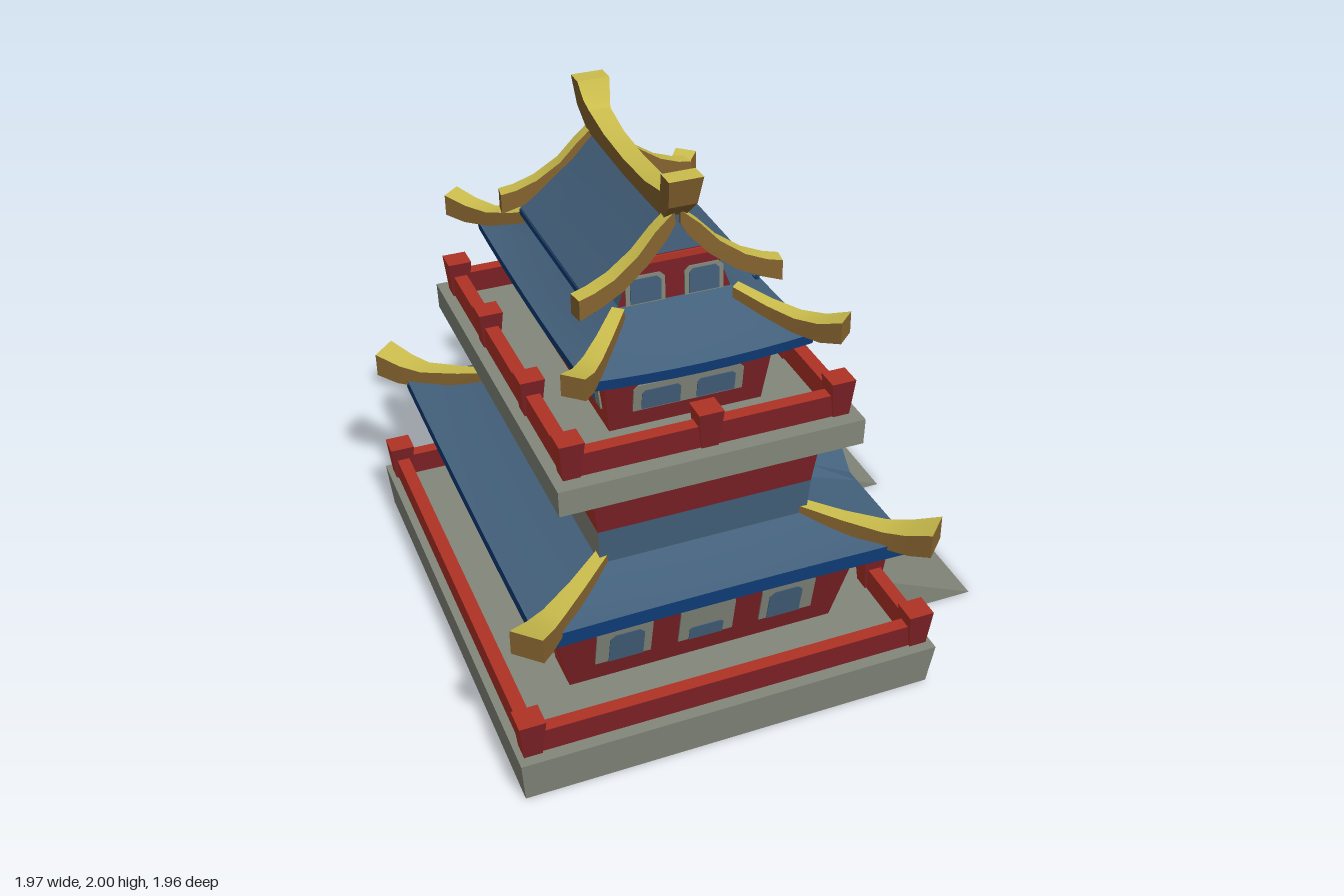
import * as THREE from 'three';
import { toCreasedNormals } from 'three/addons/utils/BufferGeometryUtils.js';

const CX = -0.19; // plan centre of the tower
const paint = (name, color) => {
  const m = new THREE.MeshStandardMaterial({ color });
  m.name = name;
  return m;
};

export function createModel() {
  const red = paint('red lacquer', 0xb03226), maroon = paint('maroon lacquer', 0x7a2025);
  const stone = paint('grey stone', 0x83877a), tile = paint('slate blue tile', 0x43607b);
  const edge = paint('deep blue eave', 0x0e3d78);
  const gold = paint('gold', 0xcabc4c), bronze = paint('bronze', 0x85632f);
  const lacquer = [maroon, red]; // z sides, x sides
  tile.side = edge.side = stone.side = THREE.DoubleSide;

  const model = new THREE.Group();
  const tower = new THREE.Group();
  tower.name = 'tower';
  tower.position.x = CX;
  model.add(tower);
  const add = (name, geo, mat, parent = tower) => {
    const m = new THREE.Mesh(geo, mat);
    m.name = name;
    parent.add(m);
    return m;
  };

  // Rectangular rings [halfX, y, halfZ] joined upward; mats[i] paints band i, or [z sides, x sides]
  function loft(name, levels, mats, seg = 1, rule = null) {
    const corners = [[-1, 1], [1, 1], [1, -1], [-1, -1]];
    const point = (i, s, t) => {
      const [hx, y, hz] = levels[i], a = corners[s], b = corners[(s + 1) % 4];
      const p = new THREE.Vector3(hx * (a[0] + (b[0] - a[0]) * t), y, hz * (a[1] + (b[1] - a[1]) * t));
      if (rule) rule(p, i, s, t);
      return p;
    };
    const pos = [], list = [], geo = new THREE.BufferGeometry();
    for (let i = 0; i < levels.length - 1; i++) for (let s = 0; s < 4; s++) {
      const mat = Array.isArray(mats[i]) ? mats[i][s % 2] : mats[i];
      if (!list.includes(mat)) list.push(mat);
      geo.addGroup(pos.length / 3, seg * 6, list.indexOf(mat));
      for (let k = 0; k < seg; k++) {
        const a = point(i, s, k / seg), b = point(i, s, (k + 1) / seg);
        const c = point(i + 1, s, (k + 1) / seg), d = point(i + 1, s, k / seg);
        for (const v of [a, b, c, a, c, d]) pos.push(v.x, v.y, v.z);
      }
    }
    geo.setAttribute('position', new THREE.Float32BufferAttribute(pos, 3));
    return add(name, toCreasedNormals(geo, 0.5), list);
  }
  // Closed block between two rings
  const block = (name, lo, hi, mat) => {
    const cap = Array.isArray(mat) ? mat[1] : mat;
    return loft(name, [[0, lo[1], 0], lo, hi, [0, hi[1], 0]], [cap, mat, cap]);
  };

  // Ridge cap swept through [x, y, z, width, height], gold on top and bronze elsewhere;
  // ends are cut upright, or level with gold ends when horned
  function ridge(name, pts, horned = false) {
    const P = pts.map(p => new THREE.Vector3(p[0], p[1], p[2])), last = P.length - 1;
    const rings = P.map((p, i) => {
      const T = P[Math.min(i + 1, last)].clone().sub(P[Math.max(i - 1, 0)]);
      const side = T.clone().cross(new THREE.Vector3(0, 1, 0)).normalize();
      if (i === 0 || i === last) horned ? T.set(0, Math.sign(T.y), 0) : T.setY(0);
      const up = side.clone().cross(T.normalize());
      return [[-1, -1], [1, -1], [1, 1], [-1, 1]].map(([a, b]) =>
        p.clone().addScaledVector(side, a * pts[i][3] / 2).addScaledVector(up, b * pts[i][4] / 2));
    });
    const pos = [], geo = new THREE.BufferGeometry();
    const quad = (a, b, c, d) => { for (const v of [a, b, c, a, c, d]) pos.push(v.x, v.y, v.z); };
    for (const j of [2, 0, 1, 3])
      for (let i = 0; i < last; i++)
        quad(rings[i][j], rings[i + 1][j], rings[i + 1][(j + 1) % 4], rings[i][(j + 1) % 4]);
    quad(...rings[0]);
    quad(...rings[last].slice().reverse());
    const n = last * 6;
    geo.addGroup(0, n, 0);
    geo.addGroup(n, n * 3, 1);
    geo.addGroup(n * 4, 12, horned ? 0 : 1);
    geo.setAttribute('position', new THREE.Float32BufferAttribute(pos, 3));
    add(name, toCreasedNormals(geo, 0.5), [gold, bronze]);
  }
  const cornerRidges = (name, pts) => {
    for (const sx of [-1, 1]) for (const sz of [-1, 1])
      ridge(name, pts.map(([x, y, z, w, h]) => [x * sx, y, z * sz, w, h]));
  };

  // Thin plate with clipped top corners, laid on a leaning wall; side 0..3 = +z, +x, -z, -x
  function plate(name, [lo, hi], side, u, y0, w, h, mat, layer = 0) {
    const k = side % 2 ? 0 : 2, c = Math.min(w, h) * 0.16;
    const slope = (hi[k] - lo[k]) / (hi[1] - lo[1]);
    const shape = new THREE.Shape([[-w / 2, 0], [w / 2, 0], [w / 2, h - c], [w / 2 - c, h], [c - w / 2, h], [-w / 2, h - c]]
      .map(p => new THREE.Vector2(...p)));
    const pivot = new THREE.Group();
    pivot.rotation.y = side * Math.PI / 2;
    tower.add(pivot);
    const m = add(name, new THREE.ExtrudeGeometry(shape, { depth: 0.006 + layer * 0.003, bevelEnabled: false }), mat, pivot);
    m.position.set(u, y0, lo[k] + slope * (y0 - lo[1]));
    m.rotation.x = Math.atan(slope);
  }

  // Rail between two plan points, and a flared post
  const rail = (x0, z0, x1, z1, y, h) => {
    const t = 0.05;
    add('rail', new THREE.BoxGeometry(Math.abs(x1 - x0) + t, h, Math.abs(z1 - z0) + t), [red, red, red, red, maroon, maroon])
      .position.set((x0 + x1) / 2, y + h / 2, (z0 + z1) / 2);
  };
  const post = (x, z, y, h, w) =>
    block('railPost', [w * 0.35, 0, w * 0.35], [w * 0.5, h, w * 0.5], lacquer).position.set(x, y, z);

  // Stone base, hollow underneath, and two entrance ramps of a slope with two cheeks
  loft('base', [[0.775, 0, 0.91], [0.79, 0.175, 0.935], [0, 0.175, 0]], [stone, stone]);
  for (const z of [-0.415, 0.36]) {
    const n = z - 0.1725, f = z + 0.1725, geo = new THREE.BufferGeometry();
    geo.setAttribute('position', new THREE.Float32BufferAttribute([
      0.595, 0.175, f, 0.99, 0, f, 0.99, 0, n, 0.595, 0.175, f, 0.99, 0, n, 0.595, 0.175, n,
      0.58, 0, f, 0.99, 0, f, 0.595, 0.175, f, 0.58, 0, n, 0.595, 0.175, n, 0.99, 0, n], 3));
    geo.computeVertexNormals();
    add('ramp', geo, stone, model);
  }

  // Lower railing, open at the ramps
  const rx = 0.735, rz = 0.865, ry = 0.177;
  for (const s of [-1, 1]) {
    rail(-rx, s * rz, rx, s * rz, ry, 0.09);
    rail(rx, s * 0.52, rx, s * rz, ry, 0.09);
    for (const x of [-rx, rx]) post(x, s * rz, ry, 0.145, 0.095);
    for (const z of [0.17, 0.51]) post(rx, s * z, ry, 0.145, 0.09);
  }
  rail(-rx, -rz, -rx, rz, ry, 0.09);
  rail(rx, -0.17, rx, 0.17, ry, 0.09);

  // Lower hall with windows
  const hall = [[0.51, 0.177, 0.62], [0.585, 0.545, 0.7]];
  block('lowerHall', ...hall, lacquer);
  for (const side of [0, 2]) for (const u of [-0.315, 0, 0.315]) {
    plate('windowFrame', hall, side, u, 0.265, 0.21, 0.185, stone);
    plate('windowPane', hall, side, u * 0.97, 0.265, 0.13, u ? 0.14 : 0.065, tile, 1);
  }
  for (const side of [1, 3]) for (const u of [-0.41, 0.41]) {
    plate('panelBorder', hall, side, u, 0.25, 0.29, 0.205, maroon);
    plate('wallPanel', hall, side, u, 0.26, 0.26, 0.185, stone, 1);
  }

  // Lower roof, swelling into a curved gable over the entrance
  const swell = z => {
    const k = [[0, 1], [0.1, 0.89], [0.22, 0.62], [0.32, 0.25], [0.4, 0], [9, 0]], a = Math.abs(z);
    const i = k.findIndex(p => a < p[0]) - 1;
    return k[i][1] + (k[i + 1][1] - k[i][1]) * (a - k[i][0]) / (k[i + 1][0] - k[i][0]);
  };
  loft('lowerRoof',
    [[0.44, 0.6, 0.64], [0.68, 0.57, 0.86], [0.685, 0.63, 0.865], [0.53, 0.65, 0.745], [0.385, 0.705, 0.64]],
    [edge, edge, tile, tile], 30, (p, i, s, t) => {
      const end = (2 * t - 1) ** 2;
      if (i === 1 || i === 2) {
        p.y += 0.015 * end;
        if (s % 2 === 0) p.z -= Math.sign(p.z) * 0.025 * (1 - end);
      }
      if (s !== 1) return;
      const f = swell(p.z);
      p.y = i < 3 ? p.y + 0.24 * f : Math.max(p.y, (i === 3 ? 0.64 : 0.65) + 0.24 * f);
      if (i === 1 || i === 2) p.x += 0.02 * f;
    });
  cornerRidges('lowerCornerRidge', [[0.745, 0.698, 0.94, 0.12, 0.095], [0.68, 0.668, 0.875, 0.1, 0.085],
    [0.61, 0.66, 0.81, 0.08, 0.07], [0.49, 0.685, 0.715, 0.06, 0.05], [0.36, 0.72, 0.61, 0.045, 0.035]]);

  // Entrance gable board with its ornament
  const gable = new THREE.Group();
  gable.name = 'entranceGable';
  gable.rotation.y = Math.PI / 2;
  gable.position.x = 0.595;
  tower.add(gable);
  const layer = (name, half, z, depth, mat) => {
    const pts = [...half, ...half.slice().reverse().filter(p => p[0]).map(([x, y]) => [-x, y])];
    add(name, new THREE.ExtrudeGeometry(new THREE.Shape(pts.map(p => new THREE.Vector2(...p))),
      { depth, bevelEnabled: false }), mat, gable).position.z = z;
  };
  layer('gableBoard', [[0.28, 0.475], [0.36, 0.58], [0.26, 0.7], [0.13, 0.775], [0, 0.81]], 0, 0.05, bronze);
  layer('gableField', [[0.25, 0.515], [0.275, 0.57], [0.21, 0.66], [0.12, 0.715], [0, 0.73]], 0.05, 0.004, edge);
  layer('gableCrest', [[0.03, 0.725], [0.085, 0.74], [0, 0.775]], 0.05, 0.007, gold);
  const oval = (name, x, y, rx2, ry2, mat, z) => {
    const s = new THREE.Shape();
    s.absellipse(0, 0, rx2, ry2, 0, Math.PI * 2);
    add(name, new THREE.ExtrudeGeometry(s, { depth: 0.003, bevelEnabled: false, curveSegments: 8 }), mat, gable).position.set(x, y, z);
  };
  for (const x of [-0.15, 0, 0.15]) {
    oval('gableOrnament', x, x ? 0.59 : 0.605, 0.058, x ? 0.07 : 0.085, stone, 0.054);
    oval('ornamentCentre', x * 0.95, x ? 0.6 : 0.62, x ? 0.025 : 0.035, x ? 0.025 : 0.055, bronze, 0.057);
  }
  for (const x of [-0.23, 0.23]) oval('gableOrnament', x, 0.56, 0.025, 0.03, stone, 0.054);

  // Middle storey
  loft('middleStorey', [[0.385, 0.66, 0.635], [0.395, 0.845, 0.65], [0.415, 0.998, 0.665], [0, 0.998, 0]],
    [[tile, stone], lacquer, red]);

  // Balcony and its railing
  block('balcony', [0.55, 1.01, 0.727], [0.552, 1.11, 0.73], stone);
  const bx = 0.485, bz = 0.645;
  for (const s of [-1, 1]) {
    rail(-bx, s * bz, bx, s * bz, 1.11, 0.085);
    rail(s * bx, -bz, s * bx, bz, 1.11, 0.085);
    post(0, s * bz, 1.11, 0.14, 0.09);
    for (const z of [-bz, -0.24, 0.24, bz]) post(s * bx, z, 1.11, 0.14, 0.088);
  }

  // Upper storey with windows
  const upper = [[0.28, 1.11, 0.465], [0.31, 1.37, 0.505]];
  block('upperStorey', ...upper, lacquer);
  for (const side of [0, 2]) {
    plate('windowFrame', upper, side, 0, 1.18, 0.4, 0.11, stone);
    for (const u of [-0.1, 0.1]) plate('windowPane', upper, side, u, 1.185, 0.14, 0.08, tile, 1);
  }
  for (const side of [1, 3]) for (const [u, w] of [[-0.33, 0.19], [0, 0.28], [0.33, 0.19]]) {
    plate('windowFrame', upper, side, u, 1.18, w, 0.11, stone);
    plate('windowPane', upper, side, u, 1.185, w - 0.07, 0.06, tile, 1);
    plate('windowLintel', upper, side, u, 1.265, w - 0.04, 0.014, maroon, 1);
  }

  // Upper skirt roof
  loft('upperRoof',
    [[0.27, 1.385, 0.47], [0.4, 1.36, 0.605], [0.405, 1.4, 0.61], [0.31, 1.44, 0.5], [0.2, 1.525, 0.355], [0, 1.525, 0]],
    [edge, edge, tile, tile, tile], 8, (p, i, s, t) => {
      if (i === 1 || i === 2) p.y += 0.02 * (2 * t - 1) ** 2;
    });
  cornerRidges('upperCornerRidge', [[0.475, 1.472, 0.695, 0.085, 0.08], [0.42, 1.45, 0.635, 0.075, 0.07],
    [0.36, 1.45, 0.56, 0.065, 0.055], [0.29, 1.475, 0.48, 0.055, 0.045], [0.21, 1.515, 0.39, 0.045, 0.04]]);

  // Attic end walls with windows
  const attic = [[0.225, 1.46, 0.365], [0.14, 1.69, 0.36]];
  block('attic', ...attic, [maroon, tile]);
  block('atticGable', [0.135, 1.69, 0.36], [0.02, 1.81, 0.35], tile);
  for (const side of [0, 2]) {
    plate('atticBeam', attic, side, 0, 1.665, 0.28, 0.022, red, 1);
    for (const u of [-0.105, 0.105]) {
      plate('windowFrame', attic, side, u, 1.52, 0.14, 0.105, stone);
      plate('windowPane', attic, side, u, 1.525, 0.11, 0.09, tile, 1);
    }
  }

  // Curved top roof, its eave strips, barge ridges and horned main ridge
  const slope = [[0, 1.84], [0.05, 1.79], [0.1, 1.735], [0.18, 1.665], [0.24, 1.61], [0.3, 1.56]];
  const outline = [...slope, ...slope.slice().reverse().map(([x, y]) => [x, y - 0.03])];
  for (const s of [-1, 1]) {
    const shape = new THREE.Shape(outline.map(([x, y]) => new THREE.Vector2(x * s, y)));
    add('topRoof', toCreasedNormals(new THREE.ExtrudeGeometry(shape, { depth: 0.76, bevelEnabled: false }), 0.5), tile).position.z = -0.38;
    add('topEave', new THREE.BoxGeometry(0.014, 0.022, 0.765), edge).position.set(s * 0.296, 1.541, 0);
    for (const e of [-1, 1])
      ridge('bargeRidge', [[0.01, 1.83, 0.37, 0.05, 0.05], [0.06, 1.775, 0.372, 0.05, 0.055], [0.13, 1.7, 0.378, 0.055, 0.055],
        [0.22, 1.635, 0.39, 0.06, 0.06], [0.3, 1.6, 0.4, 0.06, 0.065], [0.365, 1.582, 0.41, 0.06, 0.075]]
        .map(([x, y, z, w, h]) => [x * s, y, z * e, w, h]));
  }
  const half = [[0.435, 1.998, 0.12, 0.07], [0.405, 1.915, 0.1, 0.085], [0.355, 1.865, 0.08, 0.09], [0.2, 1.845, 0.075, 0.065]];
  ridge('mainRidge', [...half.map(([z, y, w, h]) => [0, y, -z, w, h]), [0, 1.838, 0, 0.075, 0.06],
    ...half.slice().reverse().map(([z, y, w, h]) => [0, y, z, w, h])], true);

  return model;
}
